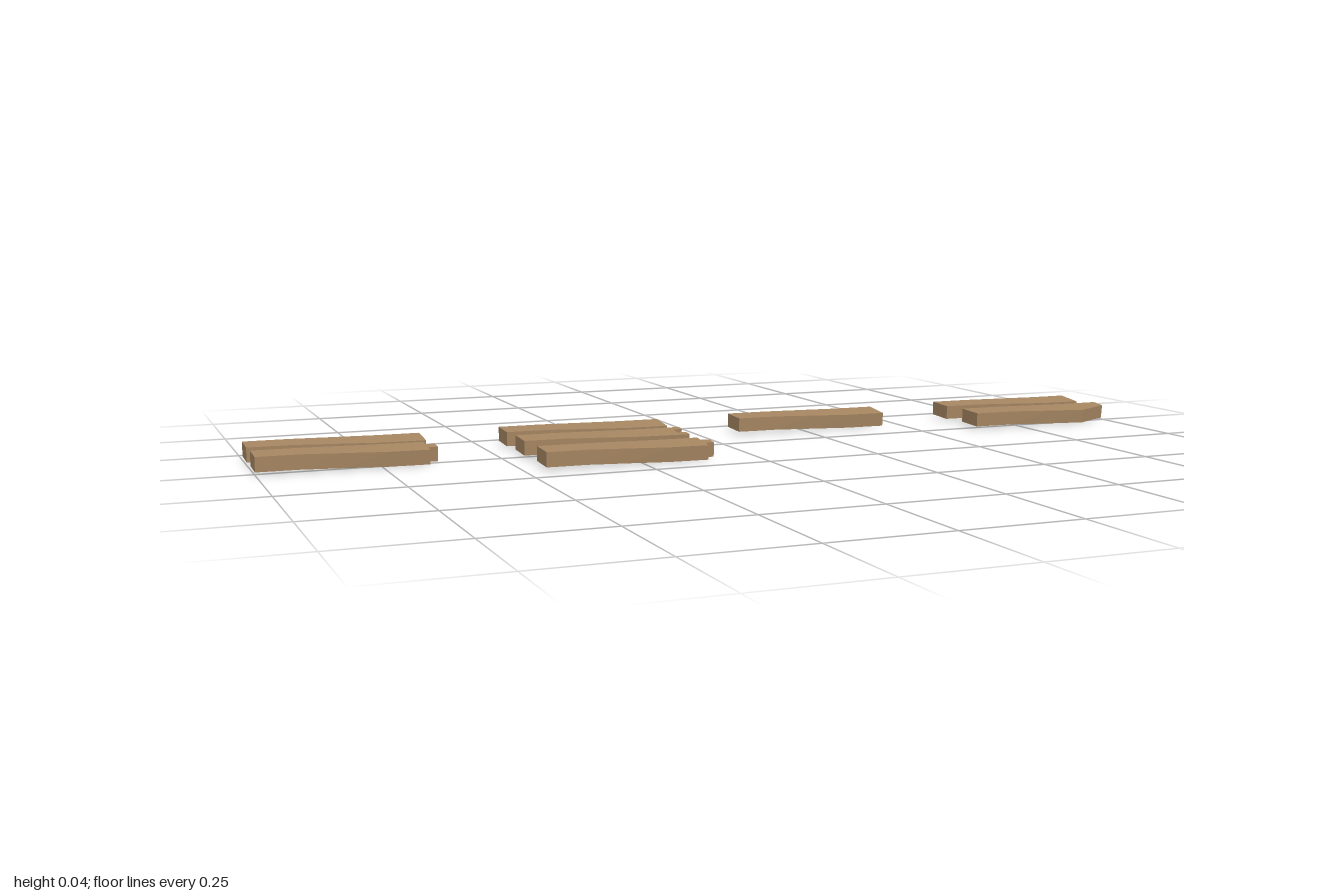
import * as THREE from 'three';

const LENGTH = 0.367, HALF_W = 0.033, HEIGHT = 0.031, TIP = 0.02;
const COLUMNS = [-1, -0.456, 0.089, 0.633];

// Warped timber: each beam rolls forward and sags a little along its length
function warp(geo) {
  const p = geo.attributes.position;
  for (let i = 0; i < p.count; i++) {
    const t = p.getX(i) / LENGTH, y = p.getY(i), z = p.getZ(i);
    const k = THREE.MathUtils.smoothstep(t, 0.15, 0.85);
    const roll = THREE.MathUtils.degToRad(2.5 + 3.5 * k);
    p.setY(i, 0.0235 - 0.004 * k + y * Math.cos(roll) - z * Math.sin(roll));
    p.setZ(i, 0.005 * k + y * Math.sin(roll) + z * Math.cos(roll));
  }
  geo.computeVertexNormals();
  return geo;
}

// Block from x0 to x1 and z0 to z1 in the beam's own frame
function block(x0, x1, z0, z1, segments = 1) {
  return new THREE.BoxGeometry(x1 - x0, HEIGHT, z1 - z0, segments, 1, 1)
    .translate((x0 + x1) / 2, 0, (z0 + z1) / 2);
}

// Cuts the front corner off the +x end
function mitre(geo) {
  const p = geo.attributes.position, start = 0.29;
  for (let i = 0; i < p.count; i++) {
    const x = p.getX(i);
    if (p.getZ(i) > 0 && x > start) p.setZ(i, HALF_W - (x - start) * 0.42);
  }
  return geo;
}

export function createModel() {
  const model = new THREE.Group();
  const wood = new THREE.MeshStandardMaterial({ color: 0xa58561, flatShading: true });
  wood.name = 'wood';

  function beam(name, column, z, end) {
    const group = new THREE.Group();
    group.name = name;
    group.position.set(COLUMNS[column], 0, z);
    const add = (part, geo) => {
      const mesh = new THREE.Mesh(warp(geo), wood);
      mesh.name = part;
      group.add(mesh);
    };
    const shoulder = LENGTH - TIP;
    if (end === 'plain') {
      add('beamBody', block(0, LENGTH, -HALF_W, HALF_W, 4));
    } else if (end === 'mitre') {
      add('beamBody', block(0, 0.29, -HALF_W, HALF_W, 3));
      add('mitredEnd', mitre(block(0.29, LENGTH, -HALF_W, HALF_W)));
    } else {
      add('beamBody', block(0, shoulder, -HALF_W, HALF_W, 4));
      if (end === 'tenon') {
        add('tenon', block(shoulder, LENGTH, -0.013, 0.013));
      } else {
        add('slotCheekBack', block(shoulder, LENGTH, -HALF_W, -0.013));
        add('slotCheekFront', block(shoulder, LENGTH, 0.013, HALF_W));
      }
    }
    model.add(group);
  }

  // Back row of plain beams
  COLUMNS.forEach((_, i) => beam('plainBeam' + (i + 1), i, -0.15, 'plain'));
  // Jointed beams
  beam('shortTenonBeam', 0, -0.022, 'tenon');
  beam('slottedBeam', 1, -0.015, 'slot');
  beam('frontTenonBeam', 1, 0.144, 'tenon');
  beam('mitredBeam', 3, -0.012, 'mitre');
  return model;
}
